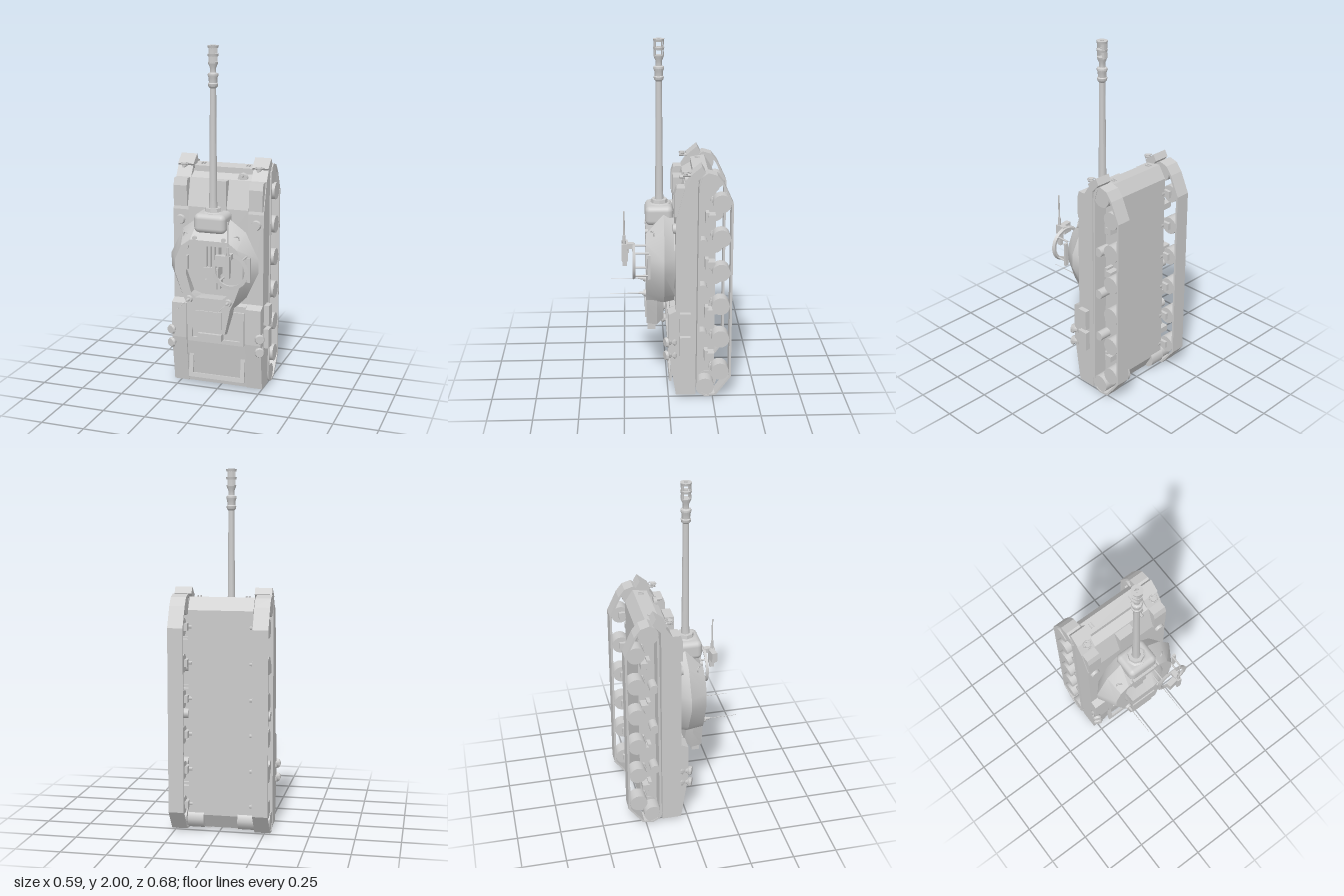
import * as THREE from 'three';
import { toCreasedNormals } from 'three/addons/utils/BufferGeometryUtils.js';
import { RoundedBoxGeometry } from 'three/addons/geometries/RoundedBoxGeometry.js';

const mat = new THREE.MeshStandardMaterial({ color: 0xcccccc });
const thin = new THREE.MeshStandardMaterial({ color: 0xcccccc, side: THREE.DoubleSide });

export function createModel() {
  const root = new THREE.Group();
  const tank = new THREE.Group();
  tank.name = 'tank';
  tank.position.x = -0.01;
  root.add(tank);

  const add = (name, geo, x = 0, y = 0, z = 0, m = mat) => {
    const mesh = new THREE.Mesh(geo, m);
    mesh.name = name;
    mesh.position.set(x, y, z);
    tank.add(mesh);
    return mesh;
  };
  const box = (name, w, h, d, x, y, z) => add(name, new THREE.BoxGeometry(w, h, d), x, y, z);
  // cylinders along x and along z
  const cylX = (name, r, w, x, y, z, n = 20) => add(name, new THREE.CylinderGeometry(r, r, w, n).rotateZ(Math.PI / 2), x, y, z);
  const cylZ = (name, r0, r1, h, x, y, z, n = 12) => add(name, new THREE.CylinderGeometry(r1, r0, h, n).rotateX(Math.PI / 2), x, y, z);
  const lathe = (pts, n = 16, ...arc) => toCreasedNormals(new THREE.LatheGeometry(pts.map(p => new THREE.Vector2(...p)), n, ...arc), 0.6);
  // side profile of [z, y] points swept from x0 to x1
  const sweep = (name, pts, x0, x1, hole) => {
    const shape = new THREE.Shape(pts.map(p => new THREE.Vector2(...p)));
    if (hole) shape.holes.push(new THREE.Path(hole.map(p => new THREE.Vector2(...p))));
    const geo = new THREE.ExtrudeGeometry(shape, { depth: x1 - x0, bevelEnabled: false });
    return add(name, geo.rotateY(-Math.PI / 2).translate(x1, 0, 0));
  };
  // stacked mirrored outlines: each ring is [z, [[halfWidth, y], ...]]
  const loft = (name, rings) => {
    const loops = rings.map(([z, half]) => [
      ...half.map(([x, y]) => [x, y, z]), ...half.map(([x, y]) => [-x, y, z]).reverse()]);
    const n = loops[0].length, pos = [];
    const cap = (loop, flip) => {
      const ys = loop.map(p => p[1]);
      const c = [0, (Math.max(...ys) + Math.min(...ys)) / 2, loop[0][2]];
      loop.forEach((p, j) => {
        const q = loop[(j + 1) % n];
        pos.push(...c, ...(flip ? q : p), ...(flip ? p : q));
      });
    };
    cap(loops[0], false);
    for (let i = 0; i + 1 < loops.length; i++)
      for (let j = 0; j < n; j++) {
        const k = (j + 1) % n, [l, u] = [loops[i], loops[i + 1]];
        pos.push(...l[j], ...u[j], ...l[k], ...l[k], ...u[j], ...u[k]);
      }
    cap(loops[loops.length - 1], true);
    const geo = new THREE.BufferGeometry();
    geo.setAttribute('position', new THREE.Float32BufferAttribute(pos, 3));
    return add(name, toCreasedNormals(geo, 0.45));
  };

  // hull
  sweep('lowerHull', [[-0.14, 0.03], [-0.14, 1.3], [-0.22, 1.31], [-0.265, 1.24], [-0.265, 0.1], [-0.22, 0.02]], -0.18, 0.18);
  sweep('upperHull', [[-0.2, 0.02], [-0.048, 0.02], [-0.012, 0.3], [-0.012, 0.52], [-0.042, 0.53], [-0.042, 1.08], [-0.09, 1.24], [-0.22, 1.31]], -0.18, 0.18);
  box('driverHood', 0.1, 0.18, 0.05, 0, 1.15, -0.06);

  // engine deck frames and panels
  for (const [y, h, z, tilt] of [[0.385, 0.2, -0.006, 0], [0.15, 0.19, -0.026, -0.135]]) {
    const outer = new THREE.Shape([[-0.17, -h / 2], [0.17, -h / 2], [0.17, h / 2], [-0.17, h / 2]].map(p => new THREE.Vector2(...p)));
    const e = h / 2 - 0.025;
    outer.holes.push(new THREE.Path([[-0.145, -e], [-0.145, e], [0.145, e], [0.145, -e]].map(p => new THREE.Vector2(...p))));
    add('engineDeckFrame', new THREE.ExtrudeGeometry(outer, { depth: 0.014, bevelEnabled: false }), 0, y, z - 0.007).rotation.x = tilt;
  }

  // running gear: closed outline of the track, and the same moved inward
  const belt = [[-0.165, 1.24], [-0.185, 1.305], [-0.215, 1.325], [-0.265, 1.31], [-0.3, 1.265], [-0.353, 1.15],
    [-0.353, 0.13], [-0.27, 0.018], [-0.21, 0.008], [-0.17, 0.03], [-0.158, 0.09]];
  const inner = belt.map(([z, y], i) => {
    const a = belt[(i + belt.length - 1) % belt.length], b = belt[(i + 1) % belt.length];
    const dz = b[0] - a[0], dy = b[1] - a[1], l = Math.hypot(dz, dy);
    return [z - dy / l * 0.012, y + dz / l * 0.012];
  });

  for (const s of [-1, 1]) {
    const span = (name, pts, a, b, hole) => sweep(name, pts, Math.min(s * a, s * b), Math.max(s * a, s * b), hole);
    span('sponson', [[-0.153, 0.02], [-0.042, 0.02], [0, 0.3], [0, 0.51], [-0.042, 0.53], [-0.042, 1.06], [-0.09, 1.24], [-0.135, 1.31], [-0.153, 1.31]], 0.18, 0.27);
    span('frontMudguard', [[-0.12, 1.31], [-0.18, 1.36], [-0.2, 1.325], [-0.15, 1.27]], 0.175, 0.27);
    span('stowageBox', [[-0.1, 1.24], [-0.045, 1.24], [-0.032, 1.2], [-0.034, 1.08], [-0.06, 1.08]], 0.185, 0.265);
    span('track', belt, 0.19, 0.275, inner);
    for (let i = 0; i < 6; i++) {
      cylX('roadWheel', 0.05, 0.076, s * 0.234, 1.15 - i * 0.198, -0.291);
      cylX('wheelAxle', 0.018, 0.06, s * 0.19, 1.15 - i * 0.198, -0.25, 10);
      box('swingArm', 0.02, 0.04, 0.06, s * 0.188, 1.15 - i * 0.198, -0.27);
    }
    for (const y of [1.06, 0.79, 0.505, 0.24]) {
      box('bumpStopBase', 0.05, 0.06, 0.02, s * 0.205, y, -0.215);
      box('bumpStop', 0.06, 0.035, 0.04, s * 0.21, y, -0.24);
    }
    for (const y of [0.92, 0.655, 0.38]) cylX('returnRoller', 0.027, 0.07, s * 0.23, y, -0.19, 14);
    cylX('idlerWheel', 0.056, 0.076, s * 0.234, 1.264, -0.222);
    cylX('driveSprocket', 0.052, 0.076, s * 0.234, 0.066, -0.207);
    cylX('finalDrive', 0.055, 0.09, s * 0.14, 0.075, -0.226, 10);

    // hull fittings
    cylZ('deckCap', 0.03, 0.025, 0.02, s * 0.227, 1.0, -0.036, 16);
    cylZ('headlampPost', 0.008, 0.008, 0.06, s * 0.222, 1.3, -0.11);
    cylX('headlamp', 0.014, 0.02, s * 0.222, 1.31, -0.095, 10).rotation.z = Math.PI / 2;
    const guard = add('headlampGuard', new THREE.TorusGeometry(0.022, 0.003, 6, 14), s * 0.222, 1.315, -0.1);
    guard.rotation.x = Math.PI / 2;
    for (const d of [-0.008, 0.008])
      box('towLug', 0.006, 0.035, 0.03, s * 0.135 + d, 1.295, -0.18);
    for (const y of [0.345, 0.265]) {
      const spool = lathe([[0, -0.035], [0.024, -0.035], [0.03, -0.02], [0.014, -0.005], [0.02, 0.01], [0.03, 0.02], [0.024, 0.033], [0, 0.033]], 10);
      add('sideSpool', spool.rotateX(Math.PI / 2), s * 0.26, y, -0.01).rotation.y = s * 0.4;
    }
    box('rearLampBlock', 0.04, 0.02, 0.03, s * 0.2, 0.015, -0.09);
    box('rearHook', 0.02, 0.02, 0.04, s * 0.08, 0.017, -0.18);
  }
  box('sideBoxUpper', 0.03, 0.12, 0.06, 0.285, 0.465, -0.093);
  box('sideBoxLower', 0.03, 0.115, 0.06, 0.285, 0.325, -0.093);
  cylZ('glacisPad', 0.032, 0.028, 0.02, 0.126, 1.25, -0.105, 8);
  cylZ('glacisKnob', 0.01, 0.01, 0.05, 0.126, 1.265, -0.09, 6);
  cylZ('turretRing', 0.2, 0.2, 0.02, 0, 0.77, -0.04, 32);

  // open-topped turret: outer wall, rim, inner wall and floor
  loft('turretShell', [
    [-0.038, [[0.08, 1.01], [0.15, 0.95], [0.21, 0.82], [0.21, 0.73], [0.15, 0.58], [0.1, 0.53]]],
    [0.02, [[0.09, 1.04], [0.185, 0.97], [0.26, 0.82], [0.26, 0.74], [0.19, 0.59], [0.13, 0.53]]],
    [0.12, [[0.11, 0.93], [0.165, 0.89], [0.2, 0.81], [0.2, 0.73], [0.15, 0.59], [0.125, 0.54]]],
    [0.12, [[0.09, 0.9], [0.12, 0.895], [0.135, 0.81], [0.135, 0.73], [0.105, 0.62], [0.08, 0.595]]],
    [0.0, [[0.1, 0.93], [0.14, 0.91], [0.18, 0.81], [0.18, 0.73], [0.13, 0.6], [0.08, 0.58]]],
  ]);
  loft('turretBustle', [
    [0.022, [[0.12, 0.56], [0.11, 0.5], [0.075, 0.41]]],
    [0.06, [[0.135, 0.56], [0.125, 0.5], [0.09, 0.375]]],
    [0.119, [[0.13, 0.56], [0.118, 0.5], [0.095, 0.39]]],
  ]);
  box('bustleTail', 0.14, 0.04, 0.045, 0, 0.36, 0.09);
  box('bustleLid', 0.16, 0.1, 0.008, 0, 0.47, 0.122);

  // breech and its guards inside the turret
  box('breech', 0.06, 0.13, 0.07, 0, 0.7, 0.04);
  box('breechBlock', 0.085, 0.05, 0.08, 0, 0.74, 0.045);
  for (const x of [-0.036, -0.012, 0.012, 0.036]) box('recoilRail', 0.016, 0.16, 0.05, x, 0.83, 0.05);
  box('loadingTray', 0.09, 0.05, 0.05, 0, 0.66, 0.03);

  // mantlet and gun
  add('mantlet', new RoundedBoxGeometry(0.185, 0.11, 0.155, 3, 0.03), 0, 1.025, 0.045);
  add('mantletCollar', lathe([[0.065, 1.03], [0.06, 1.08], [0.048, 1.085], [0.045, 1.105], [0, 1.105]], 8), 0, 0, 0.042);
  add('gunBarrel', lathe([[0.026, 1.08], [0.022, 1.15], [0.017, 1.77], [0.026, 1.78], [0.028, 1.795], [0.023, 1.8], [0.024, 1.825], [0.03, 1.84], [0.028, 1.85],
    [0.017, 1.855], [0.017, 1.88], [0.026, 1.9], [0.028, 1.912], [0, 1.912]]), 0, 0, 0.042);
  for (const y of [1.948, 1.993]) add('muzzleBaffle', lathe([[0.011, y - 0.007], [0.028, y - 0.007], [0.031, y + 0.007], [0.011, y + 0.007], [0.011, y - 0.007]]), 0, 0, 0.042);
  for (const a of [0, Math.PI])
    add('muzzleCheek', lathe([[0.019, 1.905], [0.028, 1.905], [0.027, 1.945], [0.028, 1.998], [0.019, 1.998], [0.019, 1.905]], 6, a - 0.75, 1.5), 0, 0, 0.042, thin);

  // turret lifting hooks, sight caps and antennas
  for (const s of [-1, 1]) {
    const hook = add('liftingHook', new THREE.TorusGeometry(0.016, 0.004, 6, 10, Math.PI), s * 0.15, 0.945, 0.085);
    hook.rotation.set(0, s * 0.6, s * -0.6);
    cylZ('sightCap', 0.012, 0.012, 0.016, s * 0.085, 0.94, 0.115, 10);
    cylZ('antennaBase', 0.022, 0.018, 0.016, s * 0.116, 0.583, 0.127);
    cylZ('antennaSpring', 0.01, 0.006, 0.03, s * 0.116, 0.583, 0.148, 8);
    cylZ('antenna', 0.0025, 0.001, 0.18, s * 0.116, 0.583, 0.235, 6);
    box('wallStowage', 0.02, 0.08, 0.03, s * 0.165, 0.77, 0.03);
  }

  // gun ring on posts
  const rx = 0.15, ry = 0.79;
  const hoop = lathe([[0.084, -0.006], [0.098, -0.008], [0.105, 0.007], [0.084, 0.008], [0.084, -0.006]], 28);
  add('gunRing', hoop.rotateX(Math.PI / 2), rx, ry, 0.188);
  for (let i = 0; i < 4; i++) {
    const a = Math.PI / 4 + i * Math.PI / 2;
    cylZ('ringPost', 0.006, 0.005, 0.085, rx + 0.093 * Math.cos(a), ry + 0.093 * Math.sin(a), 0.147, 8);
  }
  box('ringFoot', 0.02, 0.14, 0.014, 0.23, 0.78, 0.105);

  // pintle gun
  box('pintleCarriage', 0.03, 0.03, 0.04, 0.153, 0.88, 0.208);
  box('gunReceiver', 0.026, 0.1, 0.034, 0.153, 0.84, 0.238);
  box('ammoBox', 0.055, 0.06, 0.032, 0.11, 0.86, 0.235).rotation.y = 0.15;
  box('gunGrip', 0.02, 0.03, 0.025, 0.153, 0.78, 0.238);
  add('gunTube', new THREE.CylinderGeometry(0.004, 0.006, 0.2, 8), 0.153, 0.98, 0.24);
  add('gunJacket', new THREE.CylinderGeometry(0.008, 0.009, 0.06, 8), 0.153, 0.91, 0.24);
  return root;
}
